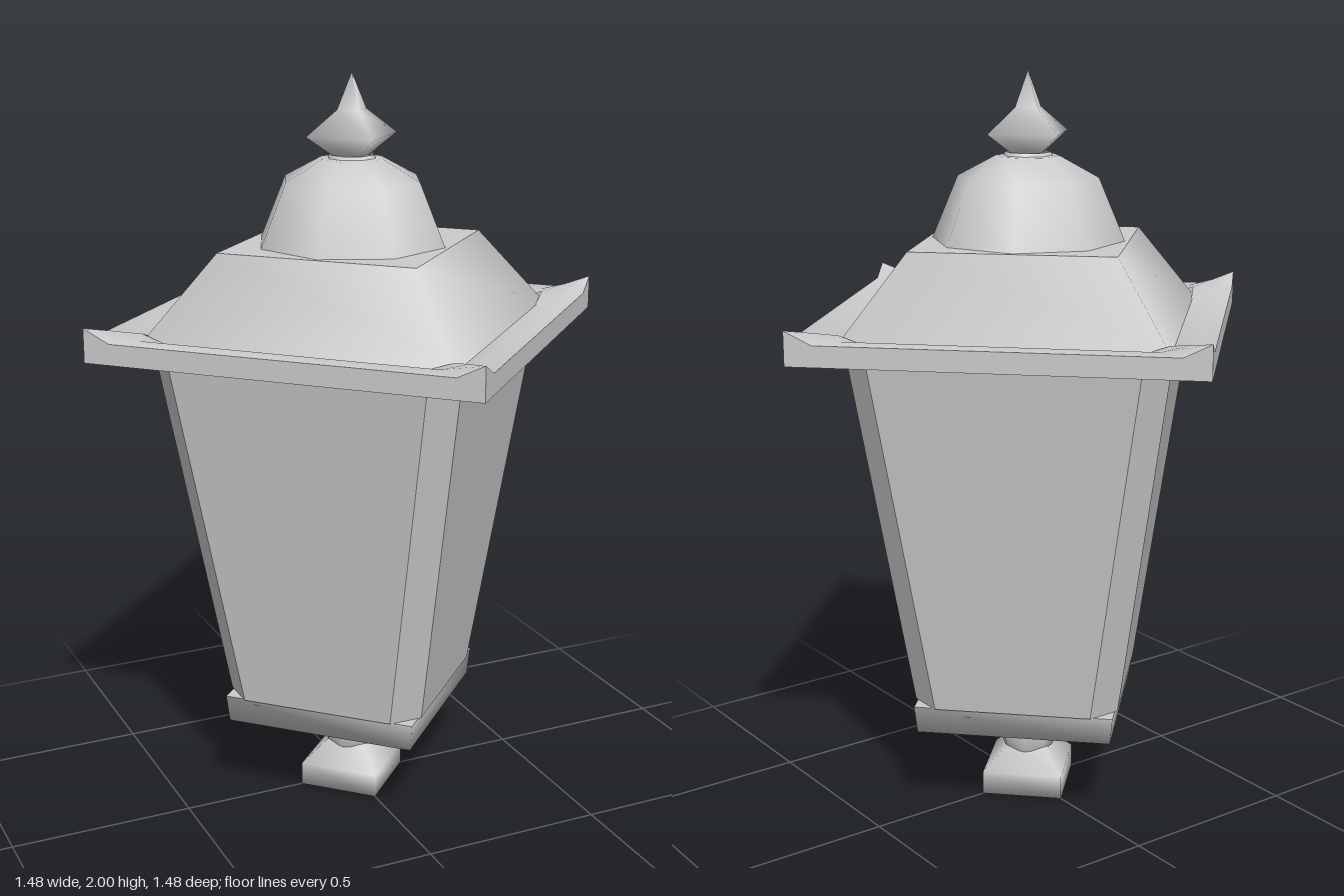
import * as THREE from 'three';
import { toCreasedNormals } from 'three/addons/utils/BufferGeometryUtils.js';

const grey = new THREE.MeshStandardMaterial({ color: 0xcccccc, side: THREE.DoubleSide });

export function createModel() {
  const lantern = new THREE.Group();

  const add = (name, geometry, parent = lantern) => {
    const mesh = new THREE.Mesh(geometry, grey);
    mesh.name = name;
    parent.add(mesh);
    return mesh;
  };
  const lathe = (profile, sides) =>
    new THREE.LatheGeometry(profile.map(([r, y]) => new THREE.Vector2(r, y)), sides);
  // Four corners, counter-clockwise from outside
  const quad = (corners) => {
    const g = new THREE.BufferGeometry();
    g.setAttribute('position', new THREE.Float32BufferAttribute(corners.flat(), 3));
    g.setIndex([0, 1, 2, 0, 2, 3]);
    g.computeVertexNormals();
    return g;
  };

  // Foot and neck; four-sided forms have their corners on the x and z axes
  add('foot', lathe([[0, 0], [0.157, 0], [0.157, 0.065], [0.075, 0.125]], 4));
  add('neck', lathe([[0.07, 0.115], [0.09, 0.175], [0.065, 0.25]], 8));

  // Tray under the glass
  add('tray', lathe([[0, 0.245], [0.372, 0.245], [0.382, 0.32]], 4));
  add('trayTop', lathe([[0.382, 0.32], [0, 0.32]], 4));

  // Tapered glass panes with a narrow post at each corner
  const y0 = 0.32, y1 = 1.31, r0 = 0.345, r1 = 0.54, w = 0.047;
  const pane = quad([[w, y0, r0], [r0, y0, w], [r1, y1, w], [w, y1, r1]]);
  const post = quad([[-w, y0, r0], [w, y0, r0], [w, y1, r1], [-w, y1, r1]]);
  const body = new THREE.Group();
  body.name = 'body';
  lantern.add(body);
  for (let i = 0; i < 4; i++) {
    add('glassPane', pane, body).rotation.y = i * Math.PI / 2;
    add('cornerPost', post, body).rotation.y = i * Math.PI / 2;
  }

  // Eave: square rim whose corners flick upward
  const rim = [[0, 1.31], [0.74, 1.31], [0.74, 1.365], [0.66, 1.365], [0.585, 1.345]];
  const lift = [0, 0, 0.035, 0.02, 0.025];
  const eave = lathe(rim, 12);
  const pos = eave.attributes.position;
  for (let i = 0; i <= 12; i++) {
    const corner = Math.round(i / 3), step = i - corner * 3;
    const a = corner * Math.PI / 2;
    rim.forEach(([r, y], j) => {
      const side = step * Math.min(0.05, r / 2);
      const out = r - Math.abs(side);
      pos.setXYZ(i * rim.length + j,
        out * Math.sin(a) + side * Math.cos(a),
        y + (step === 0 ? lift[j] : 0),
        out * Math.cos(a) - side * Math.sin(a));
    });
  }
  add('eave', toCreasedNormals(eave, 0.9));

  // Roof
  add('roofSlope', lathe([[0.59, 1.345], [0.38, 1.56]], 4));
  add('roofTop', lathe([[0.38, 1.56], [0, 1.56]], 4));
  add('dome', lathe([[0.258, 1.56], [0.188, 1.725], [0.085, 1.78], [0, 1.785]], 8));

  // Finial
  add('finialNeck', lathe([[0.07, 1.775], [0.06, 1.79]], 8));
  add('finial', lathe([[0.05, 1.785], [0.13, 1.84], [0.042, 1.905], [0, 2]], 4));

  return lantern;
}
